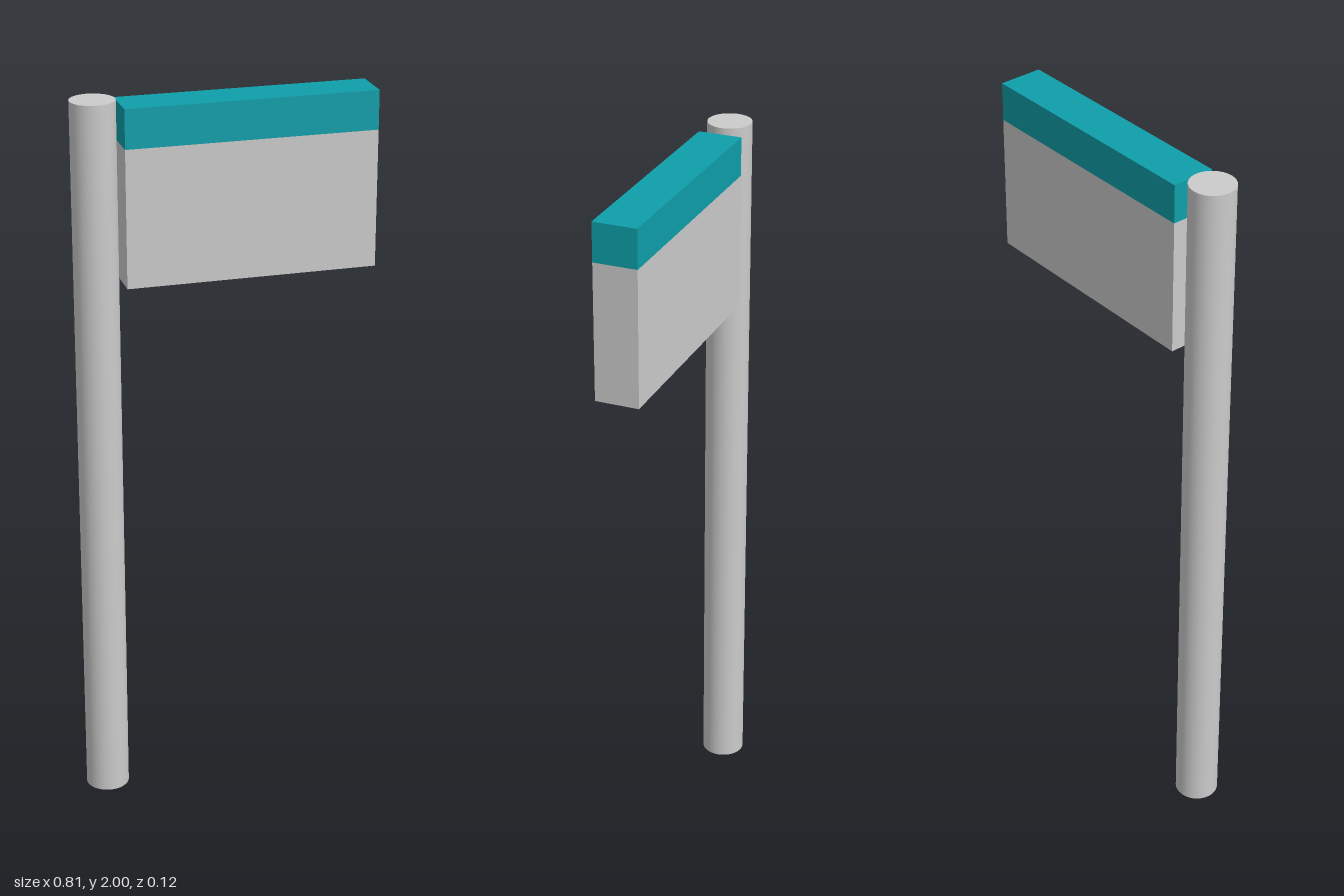
import * as THREE from 'three';

export function createModel() {
  const model = new THREE.Group();
  const grey = new THREE.MeshStandardMaterial({ color: 0xcccccc });
  const teal = new THREE.MeshStandardMaterial({ color: 0x0f9faa });

  const add = (name, geometry, material, x, y) => {
    const mesh = new THREE.Mesh(geometry, material);
    mesh.name = name;
    mesh.position.set(x, y, 0);
    model.add(mesh);
  };

  // Sign box spans, left to right and bottom to top
  const depth = 0.12, left = -0.275, right = 0.404;
  const bottom = 1.506, seam = 1.88, top = 1.986;
  const width = right - left, middle = (left + right) / 2;

  // Round upright post
  add('post', new THREE.CylinderGeometry(0.06, 0.06, 2, 48), grey, -0.344, 1);

  // Sign panel with its coloured band on top
  add('signPanel', new THREE.BoxGeometry(width, seam - bottom, depth), grey, middle, (bottom + seam) / 2);
  add('signBand', new THREE.BoxGeometry(width, top - seam, depth), teal, middle, (seam + top) / 2);

  return model;
}
